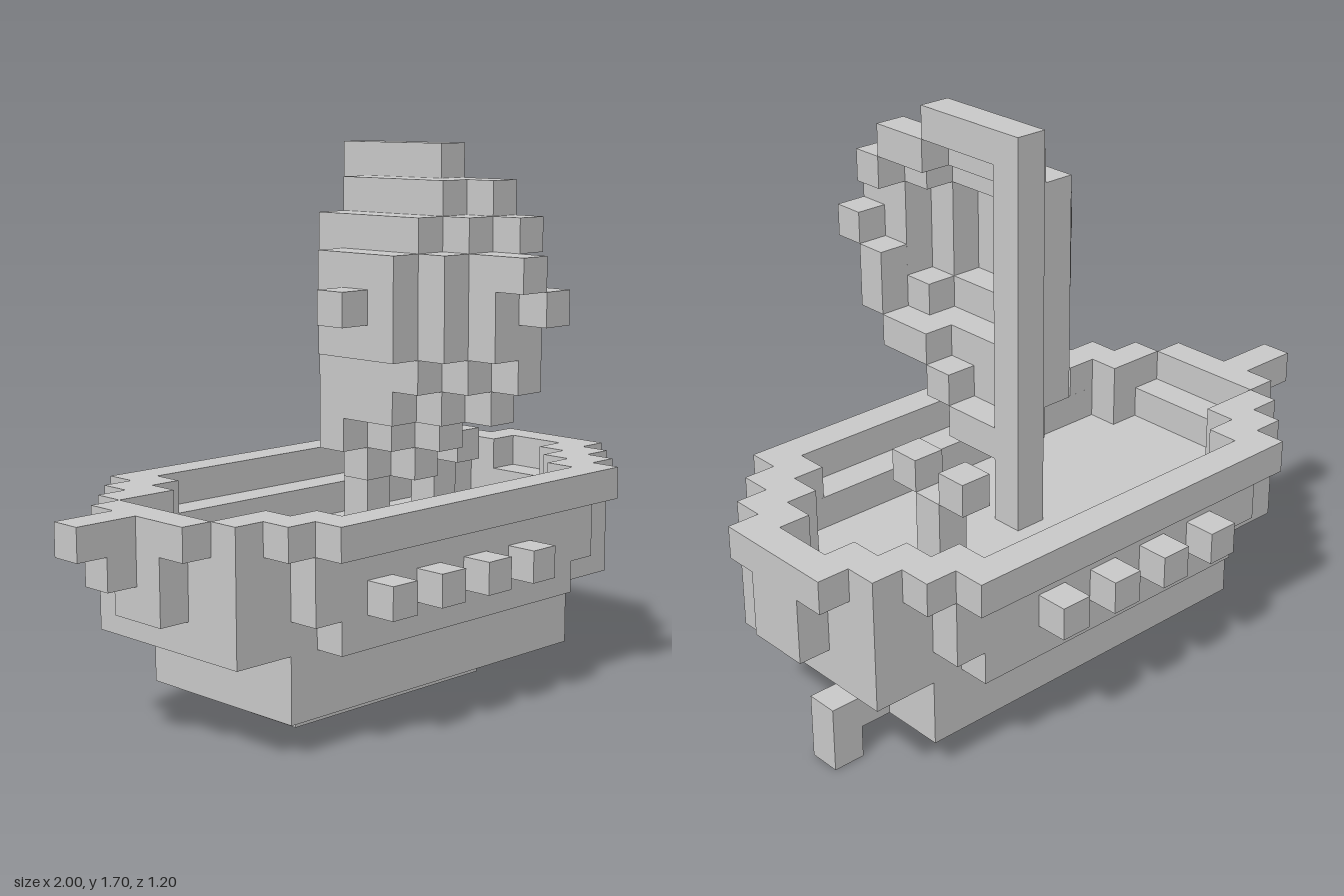
import * as THREE from 'three';

const U = 0.1; // one block
const material = new THREE.MeshStandardMaterial({ color: 0xcccccc, flatShading: true });

function add(group, name, geometry) {
  const mesh = new THREE.Mesh(geometry, material);
  mesh.name = name;
  group.add(mesh);
  return mesh;
}

// Box between block coordinates
function block(group, name, x0, x1, y0, y1, z0, z1) {
  const g = new THREE.BoxGeometry((x1 - x0) * U, (y1 - y0) * U, (z1 - z0) * U);
  g.translate((x0 + x1) * U / 2, (y0 + y1) * U / 2, (z0 + z1) * U / 2);
  return add(group, name, g);
}

// Stepped outline from rows [vStart, vEnd, uMin, uMax], stacked along v
function outline(rows) {
  const up = [], down = [];
  for (const [v0, v1, u0, u1] of rows) {
    up.push(new THREE.Vector2(u1 * U, v0 * U), new THREE.Vector2(u1 * U, v1 * U));
    down.unshift(new THREE.Vector2(u0 * U, v1 * U), new THREE.Vector2(u0 * U, v0 * U));
  }
  return [...up, ...down].filter((p, i, a) => !p.equals(a[(i + 1) % a.length]));
}

function plate(outer, inner, thickness) {
  const shape = new THREE.Shape(outline(outer));
  if (inner) shape.holes.push(new THREE.Path(outline(inner)));
  return new THREE.ExtrudeGeometry(shape, { depth: thickness * U, bevelEnabled: false });
}

// Horizontal plate: rows run along z, each spanning x
function deckPlate(group, name, outer, inner, y0, y1) {
  return add(group, name, plate(outer, inner, y1 - y0).rotateX(Math.PI / 2).translate(0, y1 * U, 0));
}

// Upright plate: rows run along y, each spanning z
function sailPlate(group, name, outer, inner, x0, x1) {
  return add(group, name, plate(outer, inner, x1 - x0).rotateY(-Math.PI / 2).translate(x1 * U, 0, 0));
}

function createHull() {
  const hull = new THREE.Group();
  hull.name = 'hull';
  block(hull, 'keel', -3, 5, 0, 1, -2, 0);
  block(hull, 'lowerHull', -5, 7, 1, 3, -4, 2);
  block(hull, 'midHull', -7, 9, 3, 5, -4, 2);
  deckPlate(hull, 'bulwark', [[-4, 2, -7, 9]],
    [[-4, -3, -5, 7], [-3, 1, -6, 8], [1, 2, -5, 7]].map(([a, b, c, d]) =>
      // the opening stops short of the side planks, which start at z = -4 and z = 2
      [a === -4 ? -3.999 : a, b === 2 ? 1.999 : b, c, d]), 5, 6);

  // Side planking and gun ports, mirrored about the centre line z = -1
  for (const s of [-1, 1]) {
    const side = (name, x0, x1, y0, y1, d0, d1) => {
      const a = -1 + s * d0, b = -1 + s * d1;
      block(hull, name, x0, x1, y0, y1, Math.min(a, b), Math.max(a, b));
    };
    side('lowerSidePlank', -4, 6, 3, 4, 3, 4);
    side('upperSidePlank', -5, 7, 4, 6, 3, 4);
    for (let x = -3; x <= 3; x += 2) side('gunPort', x, x + 1, 4, 5, 4, 5);
  }

  // Rail around the deck
  deckPlate(hull, 'rail',
    [[-6, -5, -5, 7], [-5, -4, -6, 8], [-4, -3, -7, 9], [-3, 1, -8, 10],
      [1, 2, -7, 9], [2, 3, -6, 8], [3, 4, -5, 7]],
    [[-5, -4, -4, 6], [-4, -3, -5, 7], [-3, -2, -7, 8], [-2, 0, -7, 9],
      [0, 1, -7, 8], [1, 2, -5, 7], [2, 3, -4, 6]], 6, 7);

  // Bow and stern fittings
  block(hull, 'bowPost', -8, -7, 4, 6, -2, 0);
  block(hull, 'sternPost', 9, 10, 4, 6, -2, 0);
  block(hull, 'bowsprit', -10, -8, 6, 7, -2, -1);
  block(hull, 'bowspritBracket', -9, -8, 5, 6, -2, -1);
  block(hull, 'rudderStock', 7, 8, 1, 3, -2, -1);
  block(hull, 'rudderBlade', 8, 9, 0, 2, -2, -1);
  return hull;
}

function createRig() {
  const rig = new THREE.Group();
  rig.name = 'rig';
  block(rig, 'mast', 1, 2, 5, 17, -2, -1);

  // Stepped rim of the sail: [y0, y1, z0, z1]
  const rim = [[16, 17, -1, 2], [15, 16, 2, 4], [14, 15, 4, 5], [12, 13, 5, 6],
    [10, 12, 4, 5], [9, 10, 2, 4], [8, 9, 1, 2], [7, 8, -1, 1]];
  for (const [y0, y1, z0, z1] of rim) block(rig, 'sailRim', 1, 2, y0, y1, z0, z1);

  // Billowing sail, each layer smaller and further out
  sailPlate(rig, 'sailOuterRing',
    [[7, 8, -1, 0], [8, 9, -1, 1], [9, 10, -1, 3], [10, 11, -1, 4], [11, 13, -1, 5],
      [13, 14, -1, 6], [14, 15, -1, 4], [15, 16, -1, 3]],
    [[10, 11, 0, 3], [11, 14, 0, 4], [14, 15, 0, 3]].map(([a, b, c, d]) => [a, b, c, d - 0.001]), 0, 1);
  sailPlate(rig, 'sailMiddleRing',
    [[8, 9, -1, 0], [9, 10, -1, 2], [10, 11, -1, 3], [11, 14, -1, 4], [14, 15, -1, 3]],
    [[11, 14, 1, 2.999]], -1, 0);
  sailPlate(rig, 'sailInnerRing', [[11, 14, 0, 3]], [[12, 13, 1, 2]], -2, -1);
  block(rig, 'sailTip', -3, -2, 12, 13, 1, 2);
  return rig;
}

function createHelm() {
  const helm = new THREE.Group();
  helm.name = 'helm';
  block(helm, 'helmPost', 4, 5, 5, 7, -2, -1);
  for (const z of [-3, -1]) block(helm, 'helmHandle', 4, 5, 7, 8, z, z + 1);
  return helm;
}

export function createModel() {
  const ship = new THREE.Group();
  ship.name = 'sailingShip';
  ship.add(createHull(), createRig(), createHelm());
  return ship;
}
